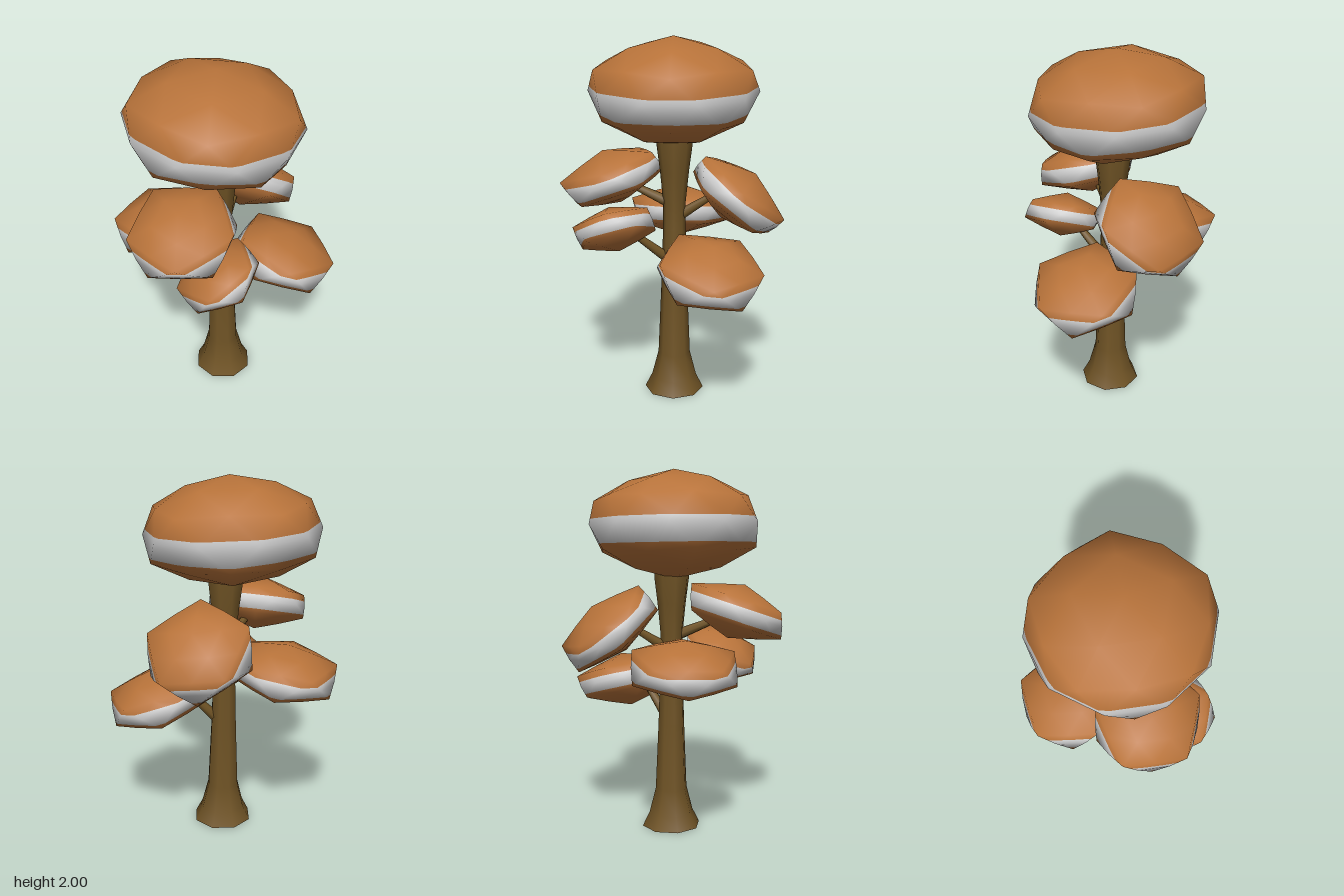
import * as THREE from 'three';

const RAD = Math.PI / 180;
const bark = new THREE.MeshStandardMaterial({ color: 0x6f5325, side: THREE.DoubleSide });
bark.name = 'bark brown';
const leaf = new THREE.MeshStandardMaterial({ color: 0xb8733a });
leaf.name = 'leaf orange';
const stripe = new THREE.MeshStandardMaterial({ color: 0xcecece });
stripe.name = 'stripe grey';

// Cuts a polygon of {p, n} corners at a height, keeping one side
function clip(poly, y, sign) {
  const out = [];
  poly.forEach((a, i) => {
    const b = poly[(i + 1) % poly.length];
    const da = (a.p.y - y) * sign, db = (b.p.y - y) * sign;
    if (da >= 0) out.push(a);
    if (da * db < 0) {
      const t = da / (da - db);
      out.push({ p: a.p.clone().lerp(b.p, t), n: a.n.clone().lerp(b.n, t).normalize() });
    }
  });
  return out;
}

// The part of a geometry that lies between two heights
function slab(geo, low, high) {
  const pos = geo.attributes.position, nor = geo.attributes.normal;
  const P = [], N = [];
  for (let i = 0; i < pos.count; i += 3) {
    let poly = [0, 1, 2].map(k => ({
      p: new THREE.Vector3().fromBufferAttribute(pos, i + k),
      n: new THREE.Vector3().fromBufferAttribute(nor, i + k),
    }));
    poly = clip(clip(poly, low, 1), high, -1);
    for (let k = 1; k + 1 < poly.length; k++) {
      for (const v of [poly[0], poly[k], poly[k + 1]]) {
        P.push(...v.p.toArray());
        N.push(...v.n.toArray());
      }
    }
  }
  const g = new THREE.BufferGeometry();
  g.setAttribute('position', new THREE.Float32BufferAttribute(P, 3));
  g.setAttribute('normal', new THREE.Float32BufferAttribute(N, 3));
  return g;
}

// Flattened low-poly leaf pad with a stripe round its rim
function makePad({ name, at, size, lean, toward, phase, round, band }) {
  const geo = new THREE.IcosahedronGeometry(1, 1);
  geo.rotateZ(Math.atan(2 / (1 + Math.sqrt(5))));
  const pos = geo.attributes.position;
  const v = new THREE.Vector3();
  for (let i = 0; i < pos.count; i++) {
    v.fromBufferAttribute(pos, i);
    const y = Math.abs(v.y);
    const corner = y > 0.99 || Math.abs(y - 0.447) < 0.01;
    if (!corner) v.multiplyScalar(round);
    pos.setXYZ(i, v.x, v.y, v.z);
  }
  geo.rotateY((36 - phase) * RAD);

  const pad = new THREE.Group();
  pad.name = name;
  const pieces = [
    ['lowerLeaves', -2, band[0], leaf],
    ['rimStripe', band[0], band[1], stripe],
    ['upperLeaves', band[1], 2, leaf],
  ];
  for (const [part, low, high, mat] of pieces) {
    const g = slab(geo, low, high);
    g.scale(size[0], size[1], size[2]);
    const mesh = new THREE.Mesh(g, mat);
    mesh.name = part;
    pad.add(mesh);
  }
  const s = Math.sin(lean * RAD), a = toward * RAD;
  const up = new THREE.Vector3(Math.cos(a) * s, Math.cos(lean * RAD), Math.sin(a) * s);
  pad.quaternion.setFromUnitVectors(new THREE.Vector3(0, 1, 0), up);
  pad.position.set(...at);
  return pad;
}

// Tapered branch between two points
function makeBranch(name, from, to) {
  const a = new THREE.Vector3(...from), b = new THREE.Vector3(...to);
  const dir = b.clone().sub(a);
  const mesh = new THREE.Mesh(new THREE.CylinderGeometry(0.018, 0.032, dir.length(), 7, 1, true), bark);
  mesh.quaternion.setFromUnitVectors(new THREE.Vector3(0, 1, 0), dir.normalize());
  mesh.position.copy(a).add(b).multiplyScalar(0.5);
  mesh.name = name;
  return mesh;
}

export function createModel() {
  const tree = new THREE.Group();
  tree.name = 'tree';

  // Trunk: flared foot, narrow neck, wider top, open underneath
  const profile = [[0.166, 0], [0.126, 0.08], [0.09, 0.22], [0.074, 0.6], [0.063, 0.95],
    [0.062, 1.1], [0.08, 1.28], [0.098, 1.42], [0.098, 1.53]];
  const trunkGeo = new THREE.LatheGeometry(profile.map(p => new THREE.Vector2(...p)), 8);
  const tp = trunkGeo.attributes.position;
  for (let i = 0; i < tp.count; i++) {
    tp.setX(i, tp.getX(i) + 0.035 - 0.014 * tp.getY(i));
    tp.setZ(i, tp.getZ(i) - 0.012);
  }
  const trunk = new THREE.Mesh(trunkGeo, bark);
  trunk.name = 'trunk';
  tree.add(trunk);

  // Crown
  tree.add(makePad({ name: 'crown', at: [-0.02, 1.707, -0.005], size: [0.503, 0.293, 0.49],
    lean: 3, toward: 0, phase: 0, round: 0.95, band: [-0.35, 0.1] }));

  // Side pads, leaning in the direction given as an angle from +x to +z
  const pads = [
    { name: 'frontPad', at: [-0.05, 1.228, 0.34], size: [0.318, 0.155, 0.318], lean: 19, toward: 90, phase: 73 },
    { name: 'backPad', at: [0.03, 1.145, -0.36], size: [0.318, 0.155, 0.318], lean: 38, toward: -90, phase: 6 },
    { name: 'leftPad', at: [0.33, 0.803, -0.21], size: [0.318, 0.155, 0.318], lean: 17, toward: -28, phase: -4 },
    { name: 'rightPad', at: [-0.33, 0.972, -0.03], size: [0.318, 0.15, 0.318], lean: 10, toward: 180, phase: 9 },
    { name: 'smallFrontPad', at: [0.135, 0.975, 0.31], size: [0.247, 0.125, 0.247], lean: 27, toward: 146, phase: 2 },
  ];
  for (const p of pads) tree.add(makePad({ ...p, round: 0.87, band: [-0.31, 0.2] }));

  // Branches
  tree.add(makeBranch('frontBranch', [0.01, 1.1, 0.02], [-0.04, 1.19, 0.24]));
  tree.add(makeBranch('backBranch', [0.02, 1.02, -0.03], [0.02, 1.14, -0.22]));
  tree.add(makeBranch('leftBranch', [0.06, 0.63, -0.03], [0.21, 0.82, -0.13]));
  tree.add(makeBranch('rightBranch', [-0.01, 0.86, 0], [-0.17, 0.98, -0.02]));
  tree.add(makeBranch('smallFrontBranch', [0.03, 0.76, 0], [0.11, 0.95, 0.22]));
  return tree;
}
